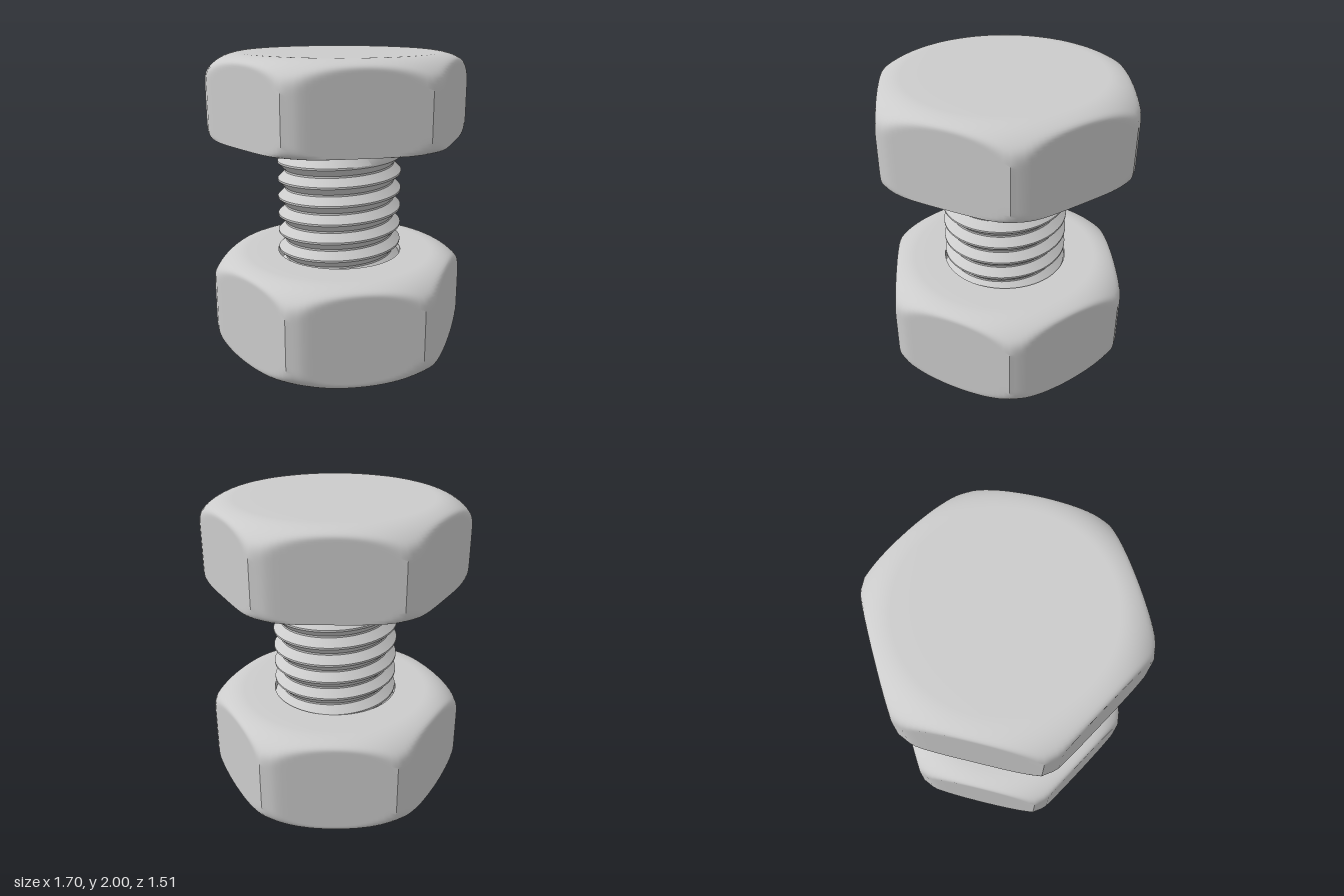
import * as THREE from 'three';
import { toCreasedNormals } from 'three/addons/utils/BufferGeometryUtils.js';

const TAU = Math.PI * 2;
const material = new THREE.MeshStandardMaterial({ color: 0xcccccc });

// Polynomial soft minimum: blends two limits over a width k
function softMin(a, b, k) {
  const h = Math.max(k - Math.abs(a - b), 0) / k;
  return Math.min(a, b) - h * h * k / 4;
}

// Surface swept round the y axis; point(theta, row) returns [radius, y]
function sweep(segments, rows, crease, point) {
  const positions = [], index = [];
  for (let j = 0; j <= rows; j++) {
    for (let i = 0; i <= segments; i++) {
      const t = i / segments * TAU, wrapped = (i % segments) / segments * TAU;
      const [r, y] = point(t, j);
      positions.push(r * Math.cos(wrapped), y, -r * Math.sin(wrapped));
      if (i < segments && j < rows) {
        const a = j * (segments + 1) + i, b = a + segments + 1;
        index.push(a, a + 1, b, a + 1, b + 1, b);
      }
    }
  }
  const geometry = new THREE.BufferGeometry();
  geometry.setAttribute('position', new THREE.Float32BufferAttribute(positions, 3));
  geometry.setIndex(index);
  return toCreasedNormals(geometry, crease);
}

// Rounded hexagon radius, with flats facing +z and -z
function hexRadius(theta) {
  const a = ((theta % (Math.PI / 3)) + Math.PI / 3) % (Math.PI / 3);
  return softMin(0.755 / Math.cos(a - Math.PI / 6), 0.755 / Math.cos(a + Math.PI / 6), 0.108);
}

// Quarter-ellipse chamfer from (r0, y0) on an end face to (0.88, y0 + drop) on the side
function chamfer(r0, y0, drop, steps = 22) {
  return Array.from({ length: steps + 1 }, (_, i) => {
    const a = i / steps * Math.PI / 2;
    return [r0 + (0.88 - r0) * Math.sin(a), y0 + drop * (1 - Math.cos(a))];
  });
}

// Hexagonal body: a turned profile trimmed by the hexagon
function hexBody(name, profile) {
  const geometry = sweep(144, profile.length - 1, 0.6, (t, j) => {
    const [r, y] = profile[j];
    return [r < 0.6 ? r : softMin(r, hexRadius(t), 0.03), y];
  });
  const mesh = new THREE.Mesh(geometry, material);
  mesh.name = name;
  return mesh;
}

// Shank with a right-handed V thread that runs out below the head
function threadedShank() {
  const bottom = 0.05, top = 1.46, pitch = 0.119, crest = 0.41, root = 0.362;
  const steps = [[0, crest], [0.1, crest], [0.5, root], [0.6, root]];
  const turns = 14;
  const geometry = sweep(96, turns * steps.length, 0.5, (t, j) => {
    const [f, r] = steps[j % steps.length];
    const y = 0.74 - 7 * pitch + pitch * (Math.floor(j / steps.length) + f - 0.05 + t / TAU);
    const fade = THREE.MathUtils.smoothstep(y, 1.36, 1.41);
    return [y <= bottom ? root : r + (crest - r) * fade, THREE.MathUtils.clamp(y, bottom, top)];
  });
  const thread = new THREE.Mesh(geometry, material);
  thread.name = 'thread';

  // Plain neck under the head
  const neck = new THREE.Mesh(new THREE.CylinderGeometry(crest, crest, 0.07, 96, 1, true), material);
  neck.name = 'neck';
  neck.position.y = 1.435;

  // Flat end, set slightly inside the nut
  const end = new THREE.Mesh(new THREE.CircleGeometry(0.412, 96).rotateX(Math.PI / 2), material);
  end.name = 'shankEnd';
  end.position.y = bottom;

  const shank = new THREE.Group();
  shank.name = 'shank';
  shank.add(thread, neck, end);
  return shank;
}

export function createModel() {
  const bolt = new THREE.Group();
  bolt.name = 'boltAndNut';

  // Head: domed chamfer on top, slight corner rounding underneath
  bolt.add(hexBody('head', [
    [0, 1.46], [0.5, 1.46],
    ...chamfer(0.79, 1.46, 0.14, 12),
    ...chamfer(0.62, 2, -0.24).reverse(),
    [0.4, 2], [0, 2],
  ]));

  // Nut: chamfered on both faces, with a through bore
  const nutTop = 0.68, bore = 0.415;
  bolt.add(hexBody('nut', [
    [bore, nutTop], [bore, 0], [0.5, 0],
    ...chamfer(0.62, 0, 0.24),
    ...chamfer(0.62, nutTop, -0.24).reverse(),
    [0.5, nutTop], [bore, nutTop],
  ]));

  bolt.add(threadedShank());
  return bolt;
}
